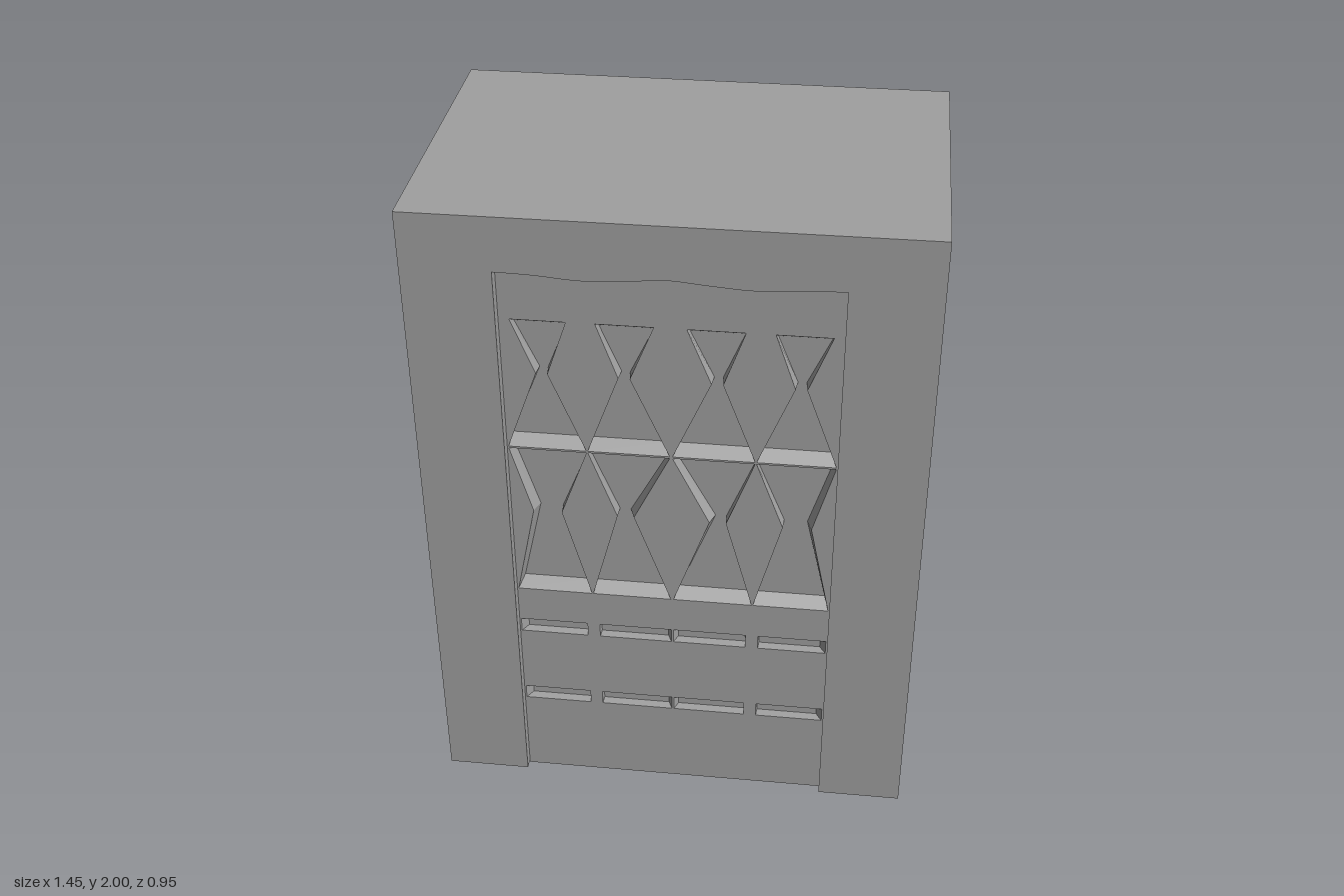
import * as THREE from 'three';

const grey = new THREE.MeshStandardMaterial({ color: 0xa0a0a0 });
grey.name = 'stone grey';

const FRONT = 0.44;   // front plane of the inset panel
const HALF = 0.47;    // half width of the inset panel

function add(parent, name, geometry, x = 0, y = 0, z = 0) {
  const mesh = new THREE.Mesh(geometry, grey);
  mesh.name = name;
  mesh.position.set(x, y, z);
  parent.add(mesh);
  return mesh;
}

const toPoints = (list) => list.map(([x, y]) => new THREE.Vector2(x, y));
const mirror = (loop) => loop.map(([x, y]) => [-x, y]).reverse();

// Counter-clockwise hourglass; each row is [y, left, right] from top to bottom
function hourglass(rows) {
  return [...rows.map(([y, l]) => [l, y]), ...rows.map(([y, , r]) => [r, y]).reverse()];
}

// A recess has a front loop and a smaller floor loop
function recess(rows, left, right, top, bottom, depth) {
  const last = rows.length - 1;
  const floorRows = rows.map(([y, l, r], i) =>
    [y - (i === 0 ? top : 0) + (i === last ? bottom : 0), l + left, r - right]);
  return { front: hourglass(rows), floor: hourglass(floorRows), depth };
}

// Sloping walls between the two loops
function wallGeometry({ front, floor, depth }) {
  const p = [];
  const n = front.length;
  for (let i = 0; i < n; i++) {
    const j = (i + 1) % n;
    const a = [...front[i], FRONT], b = [...front[j], FRONT];
    const c = [...floor[j], FRONT - depth], d = [...floor[i], FRONT - depth];
    p.push(...a, ...b, ...c, ...a, ...c, ...d);
  }
  const g = new THREE.BufferGeometry();
  g.setAttribute('position', new THREE.Float32BufferAttribute(p, 3));
  g.computeVertexNormals();
  return g;
}

export function createModel() {
  const model = new THREE.Group();
  model.name = 'carvedCabinet';

  // Surrounding frame: two sides and a top with a wavy lower edge
  const frame = new THREE.Shape();
  frame.moveTo(-0.7225, 0.01);
  frame.lineTo(-HALF, 0.01);
  frame.lineTo(-HALF, 1.837);
  frame.splineThru(toPoints([[-0.36, 1.834], [-0.23, 1.825], [-0.1, 1.833], [0, 1.841],
    [0.1, 1.833], [0.23, 1.825], [0.36, 1.834], [HALF, 1.837]]));
  frame.lineTo(HALF, 0.01);
  frame.lineTo(0.7225, 0.01);
  frame.lineTo(0.7225, 2);
  frame.lineTo(-0.7225, 2);
  frame.closePath();
  add(model, 'frame', new THREE.ExtrudeGeometry(frame,
    { depth: 0.945, bevelEnabled: false, curveSegments: 5 }), 0, 0, -0.47);

  // Solid body behind the carved front, and its base
  add(model, 'panelCore', new THREE.BoxGeometry(2 * HALF, 1.83, 0.845), 0, 0.915, -0.0525);
  add(model, 'panelBase', new THREE.BoxGeometry(2 * HALF, 0.01, 0.07), 0, 0.005, 0.404);

  // Recesses of the left half: upper hourglasses, lower hourglasses, drawer slots
  const half = [
    recess([[1.675, -0.44, -0.285], [1.505, -0.375, -0.343], [1.254, -0.466, -0.242]],
      0.004, 0.004, 0.025, 0.025, 0.04),
    recess([[1.675, -0.205, -0.045], [1.505, -0.145, -0.113], [1.254, -0.238, -0.004]],
      0.004, 0.004, 0.025, 0.025, 0.04),
    recess([[1.248, -0.466, -0.242], [1.03, -0.405, -0.322], [0.732, -0.466, -0.242]],
      0.014, 0.002, 0.02, 0.025, 0.04),
    recess([[1.248, -0.238, -0.004], [1.03, -0.158, -0.11], [0.732, -0.238, -0.004]],
      0.002, 0.014, 0.02, 0.025, 0.04),
  ];
  for (const y of [0.612, 0.335]) {
    half.push(recess([[y, -0.465, -0.26], [y - 0.047, -0.465, -0.26]], 0.018, 0.002, 0.008, 0.003, 0.025));
    half.push(recess([[y, -0.222, -0.003], [y - 0.047, -0.222, -0.003]], 0.002, 0.012, 0.008, 0.003, 0.025));
  }
  const recesses = [...half, ...half.map((r) =>
    ({ front: mirror(r.front), floor: mirror(r.floor), depth: r.depth }))];

  // Carved front face with its openings
  const face = new THREE.Shape(toPoints([[-HALF, 0], [HALF, 0], [HALF, 1.86], [-HALF, 1.86]]));
  for (const r of recesses) face.holes.push(new THREE.Path(toPoints(r.front)));
  add(model, 'panelFace', new THREE.ShapeGeometry(face), 0, 0, FRONT);

  // Walls and floor of every recess
  for (const r of recesses) {
    const group = new THREE.Group();
    group.name = 'recess';
    add(group, 'recessWalls', wallGeometry(r));
    add(group, 'recessFloor', new THREE.ShapeGeometry(new THREE.Shape(toPoints(r.floor))),
      0, 0, FRONT - r.depth);
    model.add(group);
  }
  return model;
}
